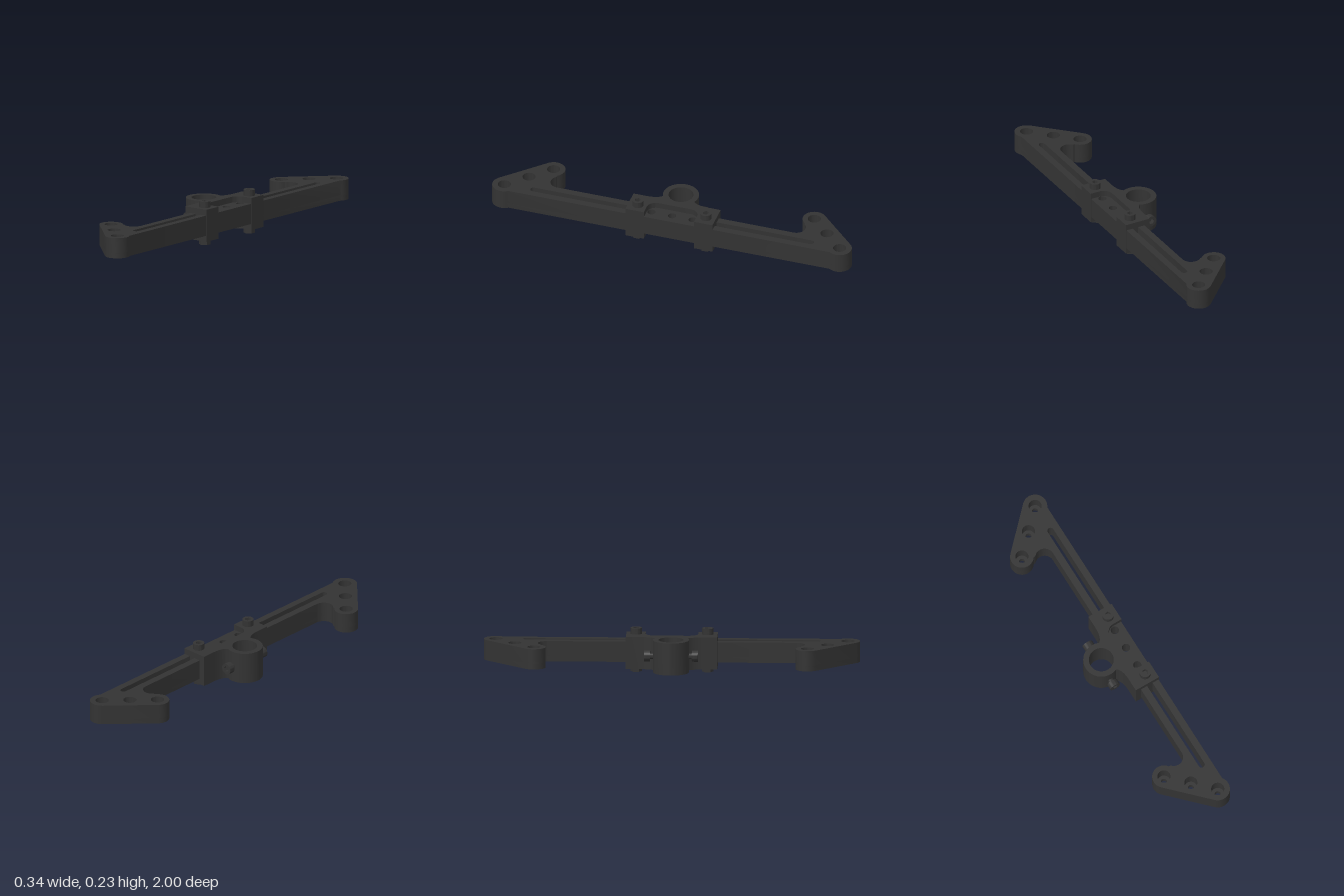
import * as THREE from 'three';
import { toCreasedNormals } from 'three/addons/utils/BufferGeometryUtils.js';

const material = new THREE.MeshStandardMaterial({ color: 0x333333 });

// Points of an arc in the plan (x, z), angles in degrees
function arc(cx, cz, r, from, to, n = 16) {
  return Array.from({ length: n + 1 }, (_, i) => {
    const a = THREE.MathUtils.degToRad(from + ((to - from) * i) / n);
    return new THREE.Vector2(cx + r * Math.cos(a), cz + r * Math.sin(a));
  });
}

const p = (x, z) => new THREE.Vector2(x, z);

// Closed outline from its z > 0 half
function mirrored(half) {
  return [...half, ...half.slice().reverse().map(q => p(q.x, -q.y))];
}

const circle = (x, z, r, n = 28) => arc(x, z, r, 0, 360, n).slice(0, -1);

// Slab with a plan outline and holes, between two heights
function slab(name, outline, holes, bottom, top) {
  const shape = new THREE.Shape(outline);
  holes.forEach(h => shape.holes.push(new THREE.Path(h)));
  let geo = new THREE.ExtrudeGeometry(shape, { depth: top - bottom, bevelEnabled: false });
  geo.rotateX(Math.PI / 2).translate(0, top, 0);
  geo = toCreasedNormals(geo, 0.6);
  const mesh = new THREE.Mesh(geo, material);
  mesh.name = name;
  return mesh;
}

function cylinder(name, r, height, y, sides = 24) {
  const mesh = new THREE.Mesh(new THREE.CylinderGeometry(r, r, height, sides), material);
  mesh.geometry = toCreasedNormals(mesh.geometry, 0.6);
  mesh.position.y = y;
  mesh.name = name;
  return mesh;
}

// Cap screw standing on y = 0, head upwards, with a hexagon socket
function capScrew(name, shankLength, gap, headHeight) {
  const g = new THREE.Group();
  g.name = name;
  g.add(slab('screwHead', circle(0, 0, 0.03), [circle(0, 0, 0.016, 6)], gap + 0.008, gap + headHeight));
  g.add(cylinder('screwHeadBase', 0.03, 0.008, gap + 0.004, 28));
  g.add(cylinder('screwShank', 0.016, shankLength + gap, (gap - shankLength) / 2));
  return g;
}

export function createModel() {
  const model = new THREE.Group();
  model.name = 'slottedBracket';

  // Long bar with a triangular ear at each end
  const barOutline = mirrored([
    p(0.154, 0.2),
    ...arc(0.102, 0.935, 0.065, -37, 135),
    ...arc(-0.106, 0.727, 0.063, 135, 325),
    ...arc(-0.005, 0.66, 0.05, 140, 0, 12),
    p(0.045, 0.2),
  ]);
  const slots = [], bores = [], counterbores = [];
  for (const s of [1, -1]) {
    slots.push([...arc(0.1, 0.773, 0.017, 0, 180, 10), ...arc(0.1, 0.19, 0.017, 180, 360, 10)]
      .map(q => p(q.x, q.y * s)));
    for (const [x, z] of [[0.102, 0.935], [-0.002, 0.831], [-0.106, 0.727]]) {
      bores.push(circle(x, z * s, 0.016));
      counterbores.push(circle(x, z * s, 0.035));
    }
  }
  const barHoles = [0, 0.115, -0.115].map(z => circle(0.1, z, 0.022));
  const bar = new THREE.Group();
  bar.name = 'slottedBar';
  bar.add(slab('barLower', barOutline, [...slots, ...barHoles, ...bores], 0.06, 0.09));
  bar.add(slab('barUpper', barOutline, [...slots, ...barHoles, ...counterbores], 0.09, 0.17));
  model.add(bar);

  // Sliding clamp with a tube ring, cut away over the middle of the bar
  const fillet = new THREE.QuadraticBezierCurve(p(0.013, 0.165), p(0.011, 0.105), p(-0.015, 0.087));
  const clampOutline = mirrored([
    ...arc(0.105, 0.09, 0.05, 180, 90, 10),
    p(0.157, 0.14), p(0.157, 0.243), p(0.013, 0.243),
    ...fillet.getPoints(10),
    ...arc(-0.054, 0, 0.096, 62, 179.9, 20),
  ]);
  model.add(slab('clamp', clampOutline, [circle(-0.054, 0, 0.066, 40)], 0.028, 0.202));

  for (const s of [1, -1]) {
    // Clamping bolts with hexagon nuts underneath
    const bolt = capScrew('clampBolt', 0.195, 0, 0.033);
    bolt.position.set(0.103, 0.202, 0.19 * s);
    model.add(bolt);
    const nut = cylinder('clampNut', 0.031, 0.03, 0.015, 6);
    nut.position.x = 0.103;
    nut.position.z = 0.19 * s;
    model.add(nut);

    // Set screws through the ring
    const screw = capScrew('ringScrew', 0.02, 0.018, 0.032);
    screw.position.set(-0.054, 0.115, 0.093 * s);
    screw.rotation.x = (s * Math.PI) / 2;
    model.add(screw);
  }
  return model;
}
